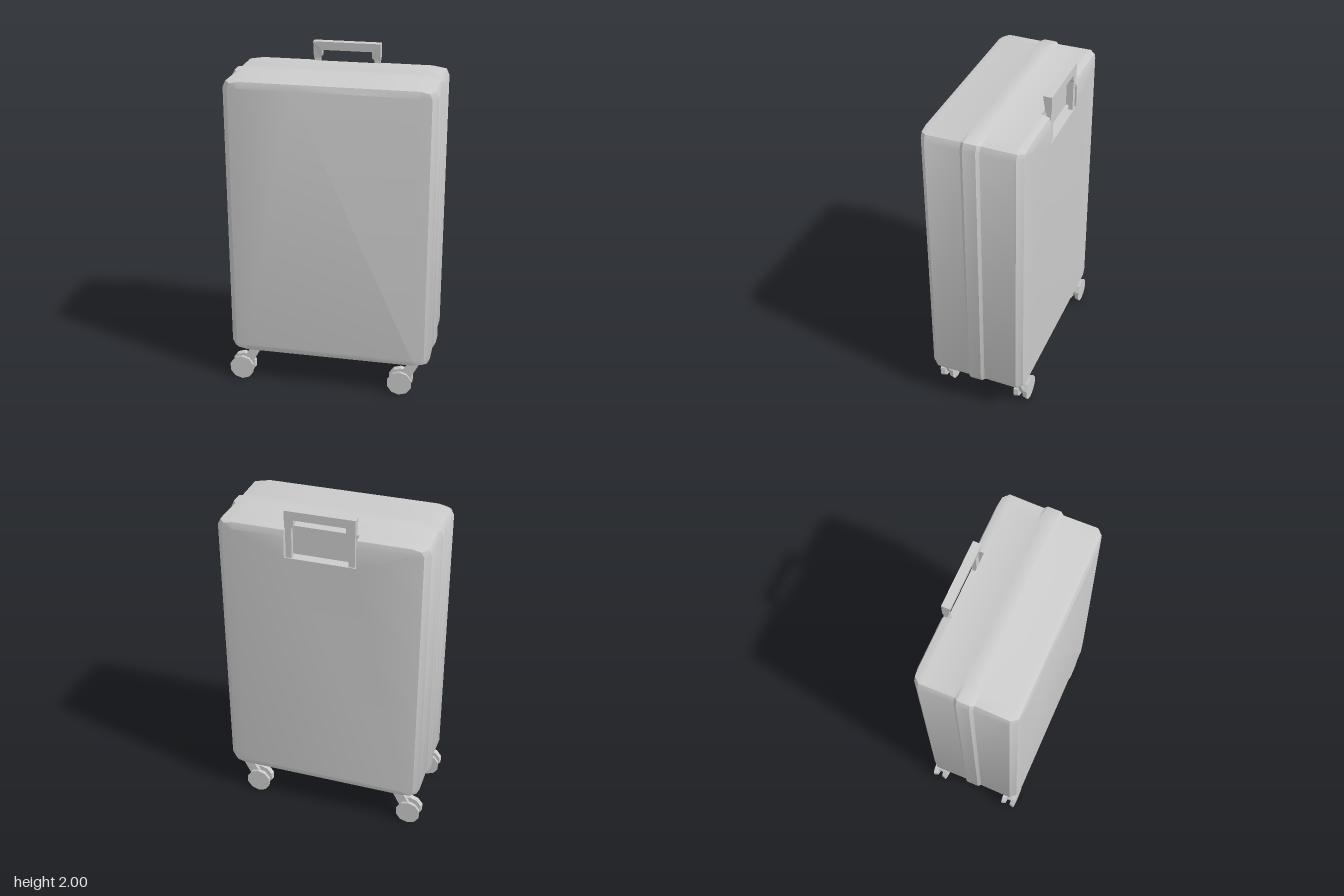
import * as THREE from 'three';
import { toCreasedNormals } from 'three/addons/utils/BufferGeometryUtils.js';

const material = new THREE.MeshStandardMaterial({ color: 0xcccccc });
const MID_Y = 1.045; // centre height of the shell

function addMesh(parent, name, geometry, x = 0, y = 0, z = 0) {
  const mesh = new THREE.Mesh(geometry, material);
  mesh.name = name;
  mesh.position.set(x, y, z);
  parent.add(mesh);
  return mesh;
}

// Shell outline, counter-clockwise seen from the front.
// notch = height of the floor of the handle recess in the top edge.
function outline(w, h, cut, notch = h) {
  const corner = [[w, h - cut], [w - cut * 0.35, h - cut * 0.27], [0.505, h]];
  const mirror = (sx, sy) => corner.map(([x, y]) => [x * sx, y * sy]);
  const recess = [[0.205, h], [0.205, notch], [-0.205, notch], [-0.205, h]];
  return [
    ...mirror(1, 1), ...recess, ...mirror(-1, 1).reverse(),
    ...mirror(-1, -1), ...mirror(1, -1).reverse(),
  ];
}

// Shell skinned through outlines from front to back, with both ends capped.
function shellGeometry() {
  const floor = 0.675;
  const sections = [
    [0.3, 0.506, 0.8, 0.003],
    [0.288, 0.572, 0.836, 0.041],
    [0.255, 0.605, 0.845, 0.05],
    [0.055, 0.602, 0.845, 0.05],
    [0.037, 0.615, 0.852, 0.05],
    [-0.037, 0.615, 0.852, 0.05],
    [-0.055, 0.602, 0.845, 0.05],
    [-0.24, 0.605, 0.845, 0.05],
    [-0.24, 0.605, 0.845, 0.05, floor],
    [-0.255, 0.605, 0.845, 0.05, floor],
    [-0.288, 0.572, 0.836, 0.041, floor],
    [-0.3, 0.506, 0.8, 0.003, floor],
  ];
  const rings = sections.map(([, ...s]) => outline(...s));
  const n = rings[0].length;
  const positions = [];
  rings.forEach((ring, i) => ring.forEach(([x, y]) => positions.push(x, y, sections[i][0])));
  const index = [];
  for (let i = 0; i < rings.length - 1; i++) {
    for (let j = 0; j < n; j++) {
      const k = (j + 1) % n;
      const a = i * n + j, b = a + n, c = (i + 1) * n + k, d = i * n + k;
      index.push(a, b, c, a, c, d);
    }
  }
  const cap = (r, flip) => {
    const points = rings[r].map(([x, y]) => new THREE.Vector2(x, y));
    for (const [a, b, c] of THREE.ShapeUtils.triangulateShape(points, [])) {
      const face = flip ? [a, c, b] : [a, b, c];
      index.push(...face.map((v) => v + r * n));
    }
  };
  cap(0, false);
  cap(rings.length - 1, true);
  const geometry = new THREE.BufferGeometry();
  geometry.setAttribute('position', new THREE.Float32BufferAttribute(positions, 3));
  geometry.setIndex(index);
  return toCreasedNormals(geometry, 0.45);
}

function extrude(points, depth) {
  const shape = new THREE.Shape(points.map(([x, y]) => new THREE.Vector2(x, y)));
  return new THREE.ExtrudeGeometry(shape, { depth, bevelEnabled: false });
}

// Telescopic handle: tapered grip on two rods standing in the recess.
function createHandle() {
  const handle = new THREE.Group();
  handle.name = 'handle';
  const grip = extrude([
    [-0.2, 2], [-0.2, 1.9], [-0.16, 1.9], [-0.148, 1.915], [-0.148, 1.95],
    [0.148, 1.95], [0.148, 1.915], [0.16, 1.9], [0.2, 1.9], [0.2, 2],
  ], 0.05);
  const p = grip.attributes.position;
  for (let i = 0; i < p.count; i++) {
    const taper = THREE.MathUtils.clamp((1.98 - p.getY(i)) / 0.08, 0, 1) * 0.016;
    if (p.getZ(i) > 0.02) p.setZ(i, 0.05 - taper);
  }
  grip.computeVertexNormals();
  addMesh(handle, 'grip', grip, 0, 0, -0.297);
  for (const side of [-1, 1]) {
    addMesh(handle, 'handleRod', new THREE.BoxGeometry(0.035, 0.19, 0.025), side * 0.179, 1.815, -0.281);
  }
  return handle;
}

// Caster: slanted fork between two wheels on a short axle.
function createCaster() {
  const caster = new THREE.Group();
  caster.name = 'caster';
  const fork = extrude([[0.057, 0.14], [-0.035, -0.02], [0.025, -0.045], [0.122, 0.14]], 0.02);
  addMesh(caster, 'fork', fork, 0, 0, -0.01);
  const axle = new THREE.CylinderGeometry(0.04, 0.04, 0.05, 10);
  addMesh(caster, 'axle', toCreasedNormals(axle.rotateX(Math.PI / 2), 0.3));
  for (const side of [-1, 1]) {
    const wheel = new THREE.CylinderGeometry(0.076, 0.07, 0.026, 10).rotateX(side * Math.PI / 2);
    addMesh(caster, 'wheel', toCreasedNormals(wheel, 0.3), 0, 0, side * 0.029);
  }
  return caster;
}

export function createModel() {
  const model = new THREE.Group();
  model.name = 'suitcase';
  addMesh(model, 'shell', shellGeometry(), 0, MID_Y, 0);
  model.add(createHandle());
  for (const x of [-0.545, 0.428]) {
    for (const z of [-0.243, 0.243]) {
      const caster = createCaster();
      caster.position.set(x, 0.076, z);
      model.add(caster);
    }
  }
  return model;
}
